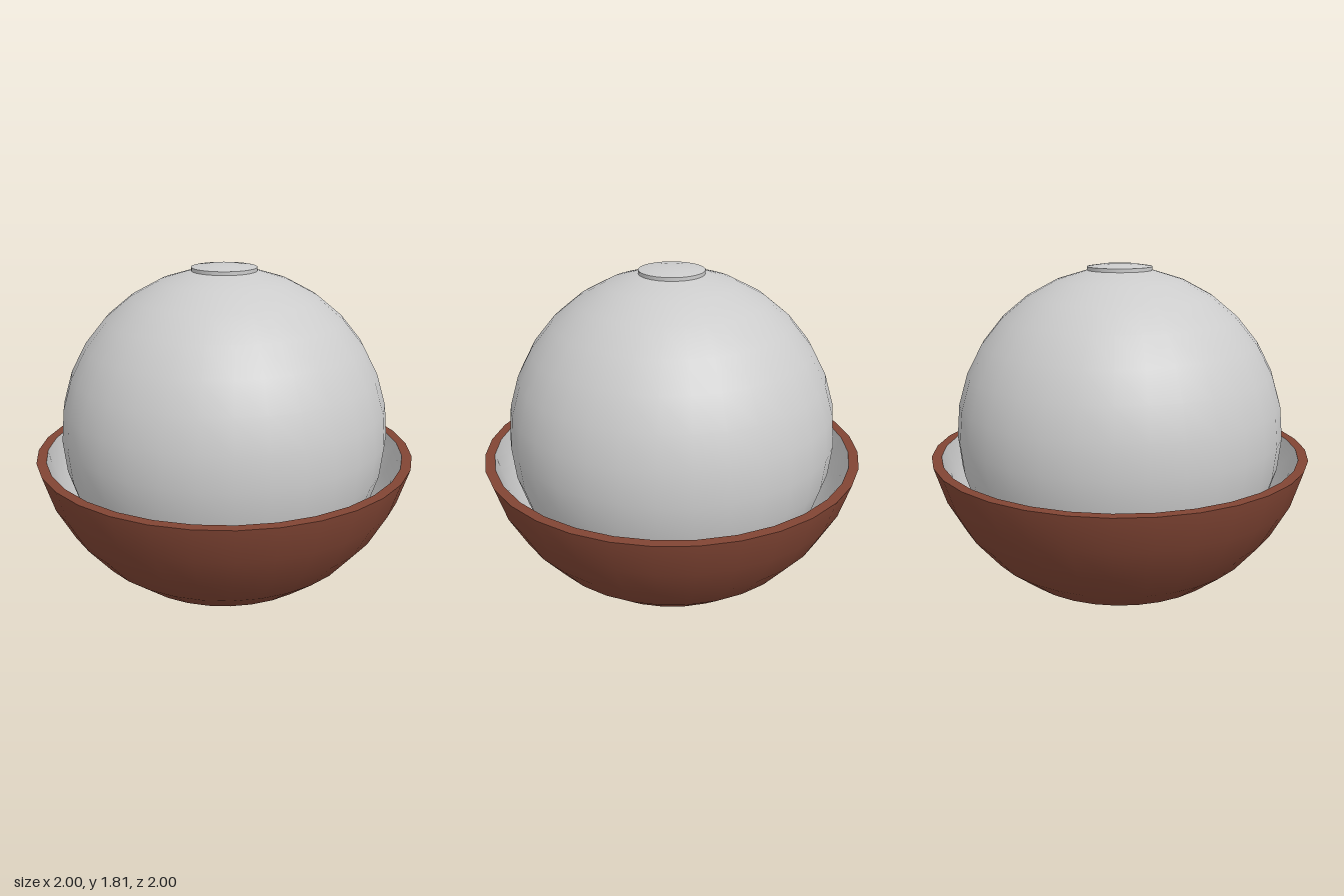
import * as THREE from 'three';

const SEG = 32;
const STEP = Math.PI / 16;
const R = 1.02; // shell radius
const CORE_Y = 0.93;
const deg = THREE.MathUtils.degToRad;

const grey = new THREE.MeshStandardMaterial({ color: 0xcccccc });
const lining = new THREE.MeshStandardMaterial({ color: 0xcccccc, side: THREE.BackSide });
const brown = new THREE.MeshStandardMaterial({ color: 0x814534 });
const black = new THREE.MeshStandardMaterial({ color: 0x111111 });

export function createModel() {
  const group = new THREE.Group();
  const add = (name, geometry, material, y = 0) => {
    const mesh = new THREE.Mesh(geometry, material);
    mesh.name = name;
    mesh.position.y = y;
    group.add(mesh);
    return mesh;
  };
  // Lower part of a sphere, open at the top
  const bowl = (r) => new THREE.SphereGeometry(r, SEG, 7, 0, Math.PI * 2, 9 * STEP, 7 * STEP);

  // Half shell: outside, pale lining and flat rim between them
  const innerR = 0.968;
  const rimY = R - R * Math.sin(STEP);
  add('shellOutside', bowl(R), brown, R);
  add('shellLining', bowl(innerR), lining, rimY + innerR * Math.sin(STEP));
  const rim = new THREE.RingGeometry(innerR * Math.cos(STEP), R * Math.cos(STEP), SEG);
  add('shellRim', rim.rotateX(-Math.PI / 2), brown, rimY);

  // Three dark eyes under the shell: [azimuth, angle from the bottom, angular width]
  [[38, 29, 15], [70, 16, 24], [-13, 15.5, 24]].forEach(([phi, tilt, width], i) => {
    const patch = new THREE.SphereGeometry(R + 0.002, 3, 2,
      deg(phi - width / 2), deg(width), deg(180 - tilt - 3.75), deg(7.5));
    add('eye' + (i + 1), patch, black, R);
  });

  // Pale ball resting in the shell
  add('ball', new THREE.SphereGeometry(0.86, SEG, 16), grey, CORE_Y);

  // Slightly domed plug on top, with a straight edge
  add('plugTop', new THREE.SphereGeometry(0.878, SEG, 2, 0, Math.PI * 2, 0, deg(11)), grey, CORE_Y);
  const plugR = 0.878 * Math.sin(deg(11));
  const plugY = 0.878 * Math.cos(deg(11));
  add('plugEdge', new THREE.CylinderGeometry(plugR, plugR, 0.04, SEG, 1, true), grey, CORE_Y + plugY - 0.02);

  return group;
}
